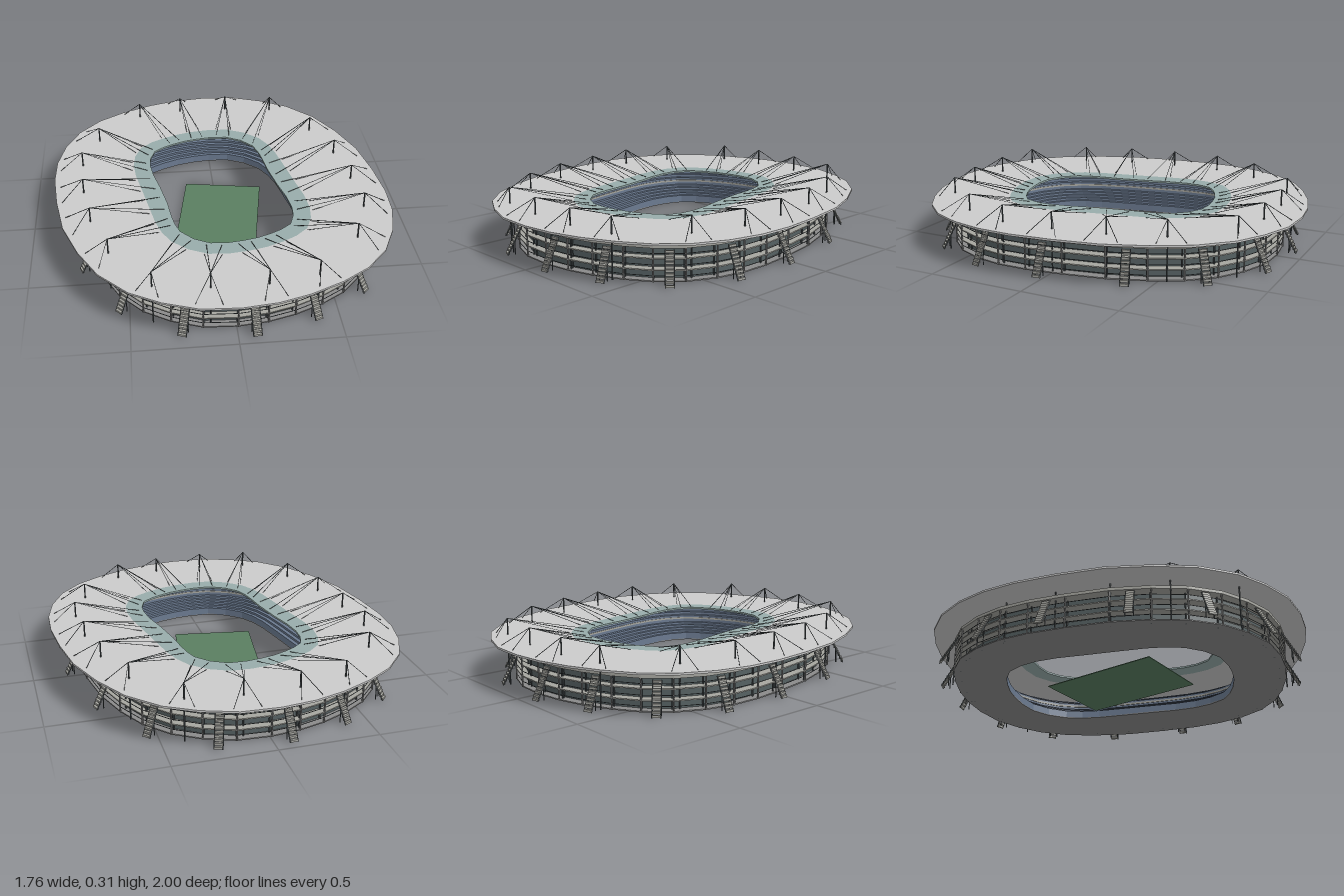
import * as THREE from 'three';

// Half outlines (x, z) of the roof edge and of its opening; the other half is the point mirror.
const OUTER = [[-.01, -1], [.18, -.99], [.35, -.93], [.5, -.845], [.64, -.7], [.74, -.52], [.82, -.31], [.86, -.08],
  [.88, .135], [.873, .31], [.833, .48], [.757, .64], [.64, .77], [.5, .86], [.335, .935], [.18, .98]];
const INNER = [[0, -.51], [.09, -.505], [.17, -.463], [.233, -.394], [.255, -.33], [.268, -.26], [.283, -.14], [.315, .02],
  [.344, .135], [.358, .235], [.354, .31], [.328, .384], [.275, .426], [.22, .455], [.15, .483], [.074, .5]];
const N = 32;

const mat = (color, extra = {}) => new THREE.MeshStandardMaterial({ color, flatShading: true, ...extra });
const grey = mat(0xcccccc);
const glass = mat(0x98adab);
const concrete = mat(0xa6a6a0);
const floorMat = mat(0x8a8a8a);
const wallMat = mat(0x566163);
const seatMat = mat(0x6b7a90, { side: THREE.DoubleSide });
const steel = mat(0x50575a);
const grass = mat(0x5a7f61);

const corner = (list, i) => {
  i = ((i % N) + N) % N;
  const s = i < 16 ? 1 : -1;
  return [list[i % 16][0] * s, list[i % 16][1] * s];
};

// Point at u (0..32 round the ring), t (0 opening .. 1 roof edge) and height y
function at(u, t, y) {
  const i = Math.floor(u), f = u - i;
  const mix = k => {
    const a = corner(INNER, i), b = corner(INNER, i + 1), c = corner(OUTER, i), d = corner(OUTER, i + 1);
    return (a[k] * (1 - f) + b[k] * f) * (1 - t) + (c[k] * (1 - f) + d[k] * f) * t;
  };
  return new THREE.Vector3(mix(0), y, mix(1));
}

// Sweeps a (t, y) profile round the ring
function ring(name, profile, material) {
  const pos = [];
  for (let j = 0; j < profile.length - 1; j++) {
    for (let i = 0; i < N; i++) {
      const a = at(i, ...profile[j]), b = at(i + 1, ...profile[j]);
      const c = at(i + 1, ...profile[j + 1]), d = at(i, ...profile[j + 1]);
      for (const p of [a, b, d, b, c, d]) pos.push(p.x, p.y, p.z);
    }
  }
  const g = new THREE.BufferGeometry();
  g.setAttribute('position', new THREE.Float32BufferAttribute(pos, 3));
  g.computeVertexNormals();
  const m = new THREE.Mesh(g, material);
  m.name = name;
  return m;
}

// Ring-shaped slab between t0..t1 and y0..y1
const slab = (name, t0, t1, y0, y1, material) =>
  ring(name, [[t0, y1], [t1, y1], [t1, y0], [t0, y0], [t0, y1]], material);

function rod(name, a, b, r, material = steel, sides = 5) {
  const m = new THREE.Mesh(new THREE.CylinderGeometry(r, r, a.distanceTo(b), sides), material);
  m.position.copy(a).lerp(b, 0.5);
  m.quaternion.setFromUnitVectors(new THREE.Vector3(0, 1, 0), b.clone().sub(a).normalize());
  m.name = name;
  return m;
}

function box(name, w, h, d, x, y, z, material) {
  const m = new THREE.Mesh(new THREE.BoxGeometry(w, h, d), material);
  m.position.set(x, y, z);
  m.name = name;
  return m;
}

// Outside stair: local +z points away from the building
function stair(u) {
  const g = new THREE.Group();
  g.name = 'outerStair';
  const dir = at(Math.ceil(u), .77, 0).sub(at(Math.floor(u), .77, 0));
  g.position.copy(at(u, .765, 0));
  g.rotation.y = Math.atan2(dir.z, -dir.x);
  const steps = 10, run = .082, top = .155;
  for (let k = 0; k < steps; k++) {
    const f = (k + .5) / steps;
    g.add(box('step', .038, .011, .012, 0, top * (1 - f), run * f, concrete));
  }
  for (const x of [-.02, .02]) {
    g.add(rod('stringer', new THREE.Vector3(x, top, 0), new THREE.Vector3(x, 0, run), .003, steel, 4));
    g.add(rod('stairPost', new THREE.Vector3(x, 0, run * .55), new THREE.Vector3(x, top * .45, run * .55), .003, steel, 4));
  }
  return g;
}

// Roof mast with cables to the opening and to the outer edge
function mast(x, z) {
  const g = new THREE.Group();
  g.name = 'roofMast';
  const tip = new THREE.Vector3(x, .303, z);
  let u = 0, best = 9;
  for (let k = 0; k < N; k += .1) {
    const p = at(k, .71, 0), d = Math.hypot(p.x - x, p.z - z);
    if (d < best) { best = d; u = k; }
  }
  g.add(rod('mastPole', new THREE.Vector3(x, 0, z), tip, .004, steel, 6));
  for (const s of [-1, 1]) {
    g.add(rod('innerCable', tip, at(u + s * .4 + N, .05, .219), .0016, steel, 4));
    g.add(rod('middleCable', tip, at(u + s * .4 + N, .2, .219), .0014, steel, 4));
    g.add(rod('outerCable', tip, at(u + s * .35 + N, .95, .219), .0016, steel, 4));
  }
  return g;
}

export function createModel() {
  const model = new THREE.Group();
  model.name = 'stadium';

  // Roof with a translucent-looking inner rim
  model.add(slab('roof', .18, 1, .208, .218, grey));
  model.add(slab('roofInnerRim', 0, .18, .208, .218, glass));

  // Stepped seating: lower tier, walkway, upper tier
  const profile = [[.2, .004], [.2, .03]];
  const tier = (t0, y0, t1, y1, rows) => {
    for (let k = 0; k < rows; k++) {
      const t = t0 + (t1 - t0) * k / rows, y = y0 + (y1 - y0) * (k + 1) / rows;
      profile.push([t, y], [t0 + (t1 - t0) * (k + 1) / rows, y]);
    }
  };
  tier(.2, .03, .4, .09, 5);
  profile.push([.4, .115]);
  tier(.4, .115, .62, .176, 4);
  model.add(ring('seating', profile, seatMat));
  model.add(slab('tierRail', .393, .4, .108, .118, concrete));

  // Floor, outer wall, galleries and top beam
  model.add(slab('floor', .2, .76, 0, .006, floorMat));
  model.add(ring('outerWall', [[.67, .176], [.67, 0]], wallMat));
  for (const y of [.053, .108]) model.add(slab('gallery', .665, .762, y, y + .006, concrete));
  model.add(slab('topBeam', .61, .775, .162, .178, concrete));
  for (const y of [.028, .08, .134]) model.add(slab('galleryRail', .757, .761, y, y + .003, steel));

  // Facade columns
  for (let i = 0; i < N; i++) {
    for (const t of [.69, .757]) {
      model.add(rod('facadeColumn', at(i, t, 0), at(i, t, .165), .0045, t < .7 ? steel : floorMat, 6));
    }
  }

  // Outside stairs on every second side
  for (let i = 1; i < N; i += 2) model.add(stair(i + .5));

  // Masts, point-mirrored
  const masts = [[-.155, -.845], [.12, -.845], [.39, -.81], [.59, -.54], [.68, -.27], [.72, 0], [.73, .27], [.64, .53], [.4, .8]];
  for (const [x, z] of masts) model.add(mast(x, z), mast(-x, -z));

  // Pitch, turned slightly
  const pitch = box('pitch', .427, .004, .65, 0, .003, 0, grass);
  pitch.rotation.y = -.17;
  model.add(pitch);

  return model;
}
